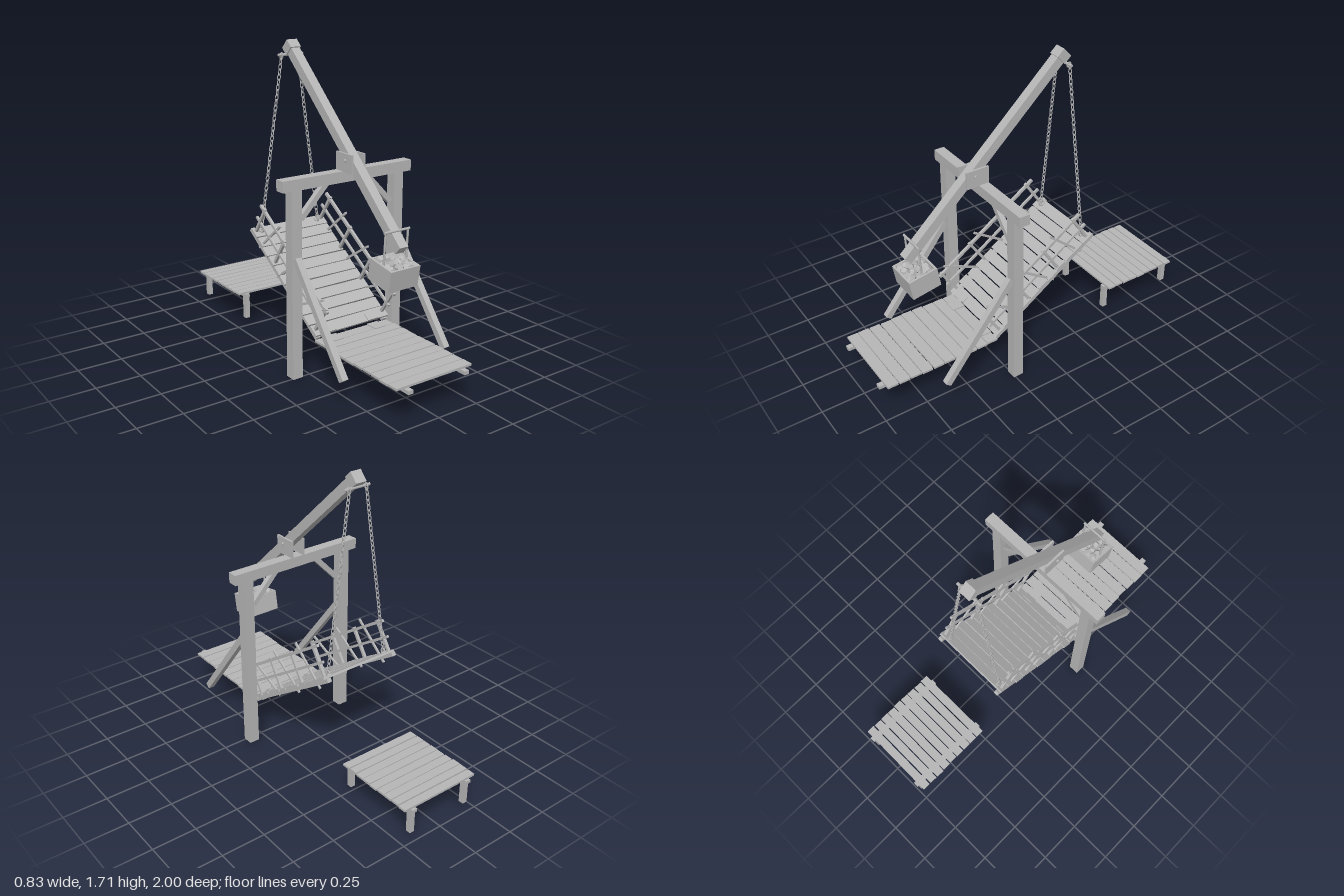
import * as THREE from 'three';

const grey = new THREE.MeshStandardMaterial({ color: 0xb6b6b6 });
grey.name = 'weathered grey';

let seed = 7;
const rnd = () => (seed = (seed * 16807) % 2147483647) / 2147483647;
const jit = (a) => (rnd() - 0.5) * 2 * a;
const V = (x, y, z) => new THREE.Vector3(x, y, z);

function add(parent, name, geo, x = 0, y = 0, z = 0) {
  const m = new THREE.Mesh(geo, grey);
  m.name = name;
  m.position.set(x, y, z);
  parent.add(m);
  return m;
}
const box = (parent, name, w, h, d, x, y, z) => add(parent, name, new THREE.BoxGeometry(w, h, d), x, y, z);

// Square timber running between two points
function beam(parent, name, a, b, w, h = w) {
  const m = box(parent, name, w, h, a.distanceTo(b), 0, 0, 0);
  m.position.copy(a).lerp(b, 0.5);
  m.lookAt(b);
  return m;
}

// Round rod between two points
function rod(parent, name, a, b, r) {
  const m = add(parent, name, new THREE.CylinderGeometry(r, r, a.distanceTo(b), 8));
  m.position.copy(a).lerp(b, 0.5);
  m.quaternion.setFromUnitVectors(V(0, 1, 0), b.clone().sub(a).normalize());
  return m;
}

// Row of slightly uneven planks from z0 to z1
function planks(parent, count, z0, z1, y) {
  const step = (z1 - z0) / count;
  for (let i = 0; i < count; i++) {
    const p = box(parent, 'plank', 0.482 + jit(0.005), 0.012, Math.abs(step) - 0.006 + jit(0.002),
      jit(0.003), y + jit(0.001), z0 + step * (i + 0.5));
    p.rotation.y = jit(0.006);
  }
}

function group(parent, name) {
  const g = new THREE.Group();
  g.name = name;
  parent.add(g);
  return g;
}

export function createModel() {
  const model = new THREE.Group();
  model.name = 'drawbridge';
  const sides = [-1, 1];

  // Gate frame with knee braces and sloping struts
  const gate = group(model, 'gateFrame');
  box(gate, 'crossBeam', 0.826, 0.06, 0.06, 0, 1.06, 0.23);
  for (const s of sides) {
    box(gate, 'post', 0.06, 1.03, 0.06, s * 0.33, 0.515, 0.23);
    beam(gate, 'kneeBrace', V(s * 0.29, 0.872, 0.23), V(s * 0.125, 1.045, 0.23), 0.03);
    beam(gate, 'strut', V(s * 0.333, 0.67, 0.262), V(s * 0.333, 0.155, 0.67), 0.036);
    box(gate, 'pivotPlate', 0.012, 0.1, 0.134, s * 0.038, 1.137, 0.266);
  }
  rod(gate, 'pivotPin', V(-0.055, 1.15, 0.28), V(0.055, 1.15, 0.28), 0.009);

  // Lifting boom
  const boom = group(model, 'boom');
  const low = V(0, 0.773, 0.69), high = V(0, 1.69, -0.3);
  const along = high.clone().sub(low).normalize();
  beam(boom, 'boomBeam', low, high.clone().addScaledVector(along, -0.01), 0.054);
  beam(boom, 'boomCap', high.clone().addScaledVector(along, -0.055), high, 0.066, 0.068);
  rod(boom, 'spreaderBar', V(-0.08, 1.632, -0.291), V(0.08, 1.632, -0.291), 0.008);

  // Near platform resting on two long bearers
  const near = group(model, 'nearPlatform');
  planks(near, 10, 0.285, 0.968, 0.203);
  for (const s of sides) {
    box(near, 'bearer', 0.03, 0.02, 0.69, s * 0.18, 0.187, 0.65);
    box(near, 'hingePlate', 0.07, 0.006, 0.075, s * 0.14, 0.212, 0.325);
  }

  // Far platform on four legs
  const far = group(model, 'farPlatform');
  planks(far, 9, -0.502, -0.99, 0.206);
  for (const s of sides) {
    box(far, 'bearer', 0.03, 0.018, 0.505, s * 0.187, 0.191, -0.7475);
    for (const z of [-0.51, -0.972]) box(far, 'leg', 0.028, 0.15, 0.03, s * 0.187, 0.125, z);
  }

  // Raised bridge deck, hinged at the near platform; local -z runs up the slope
  const deck = group(model, 'bridgeDeck');
  deck.position.set(0, 0.22, 0.29);
  deck.rotation.x = Math.atan2(0.427, 0.64);
  planks(deck, 11, 0, -0.77, 0.012);
  const stations = [0.04, 0.275, 0.51, 0.745];
  for (const s of sides) {
    const x = s * 0.222;
    box(deck, 'bearer', 0.026, 0.022, 0.785, x, -0.005, -0.388);
    box(deck, 'hingeStrap', 0.07, 0.006, 0.045, s * 0.14, 0.021, -0.025);
    box(deck, 'topRail', 0.016, 0.016, 0.77, x, 0.185, -0.405);
    box(deck, 'middleRail', 0.012, 0.014, 0.77, x, 0.095, -0.4);
    stations.forEach((d, i) => {
      box(deck, 'railPost', 0.016, 0.2, 0.016, x, 0.1, -d);
      if (i < 3) beam(deck, 'railBrace', V(x, 0.02, -d), V(x, 0.178, -stations[i + 1]), 0.01, 0.012);
    });
    const eye = add(deck, 'chainEye', new THREE.TorusGeometry(0.015, 0.005, 6, 12), s * 0.19, 0.028, -0.742);
    eye.rotation.y = Math.PI / 2;
    add(deck, 'eyeBase', new THREE.CylinderGeometry(0.018, 0.018, 0.008, 10), s * 0.19, 0.021, -0.742);
  }

  // Chains of alternating stretched links
  const link = new THREE.TorusGeometry(0.0095, 0.0028, 5, 10);
  link.scale(1, 1.8, 1);
  for (const s of sides) {
    const chain = group(model, 'chain');
    const a = V(s * 0.055, 1.622, -0.298), b = V(s * 0.19, 0.668, -0.31);
    const n = 34;
    const turn = new THREE.Quaternion().setFromUnitVectors(V(0, -1, 0), b.clone().sub(a).normalize());
    for (let i = 0; i <= n; i++) {
      const m = add(chain, 'chainLink', link);
      m.position.copy(a).lerp(b, i / n);
      m.quaternion.copy(turn).multiply(
        new THREE.Quaternion().setFromAxisAngle(V(0, 1, 0), (i % 2) * Math.PI / 2));
    }
    const ring = add(chain, 'topRing', new THREE.TorusGeometry(0.013, 0.004, 6, 12), s * 0.055, 1.63, -0.293);
    ring.rotation.y = Math.PI / 2;
  }

  // Counterweight crate hung over the low end of the boom
  const weight = group(model, 'counterweight');
  rod(weight, 'hangerBar', V(-0.08, 0.864, 0.65), V(0.08, 0.864, 0.65), 0.007);
  for (const s of sides) rod(weight, 'hangerRod', V(s * 0.071, 0.866, 0.65), V(s * 0.071, 0.66, 0.637), 0.006);
  const crate = group(weight, 'crate');
  crate.position.set(0, 0.644, 0.633);
  crate.rotation.x = 0.17;
  box(crate, 'crateFloor', 0.185, 0.012, 0.168, 0, -0.051, 0);
  for (const s of sides) {
    box(crate, 'crateSide', 0.012, 0.115, 0.168, s * 0.087, 0, 0);
    box(crate, 'crateEnd', 0.186, 0.115, 0.012, 0, 0, s * 0.079);
  }

  // Faceted stones heaped in the crate
  for (let i = 0; i < 16; i++) {
    const r = 0.03 + jit(0.004);
    const stone = add(crate, 'stone', new THREE.DodecahedronGeometry(r, 0),
      ((i % 4) - 1.5) * 0.039 + jit(0.005), 0.04 + jit(0.015), (Math.floor(i / 4) - 1.5) * 0.034 + jit(0.005));
    stone.rotation.set(rnd() * 6, rnd() * 6, rnd() * 6);
    stone.scale.set(1, 0.85 + jit(0.1), 0.9);
  }
  return model;
}
